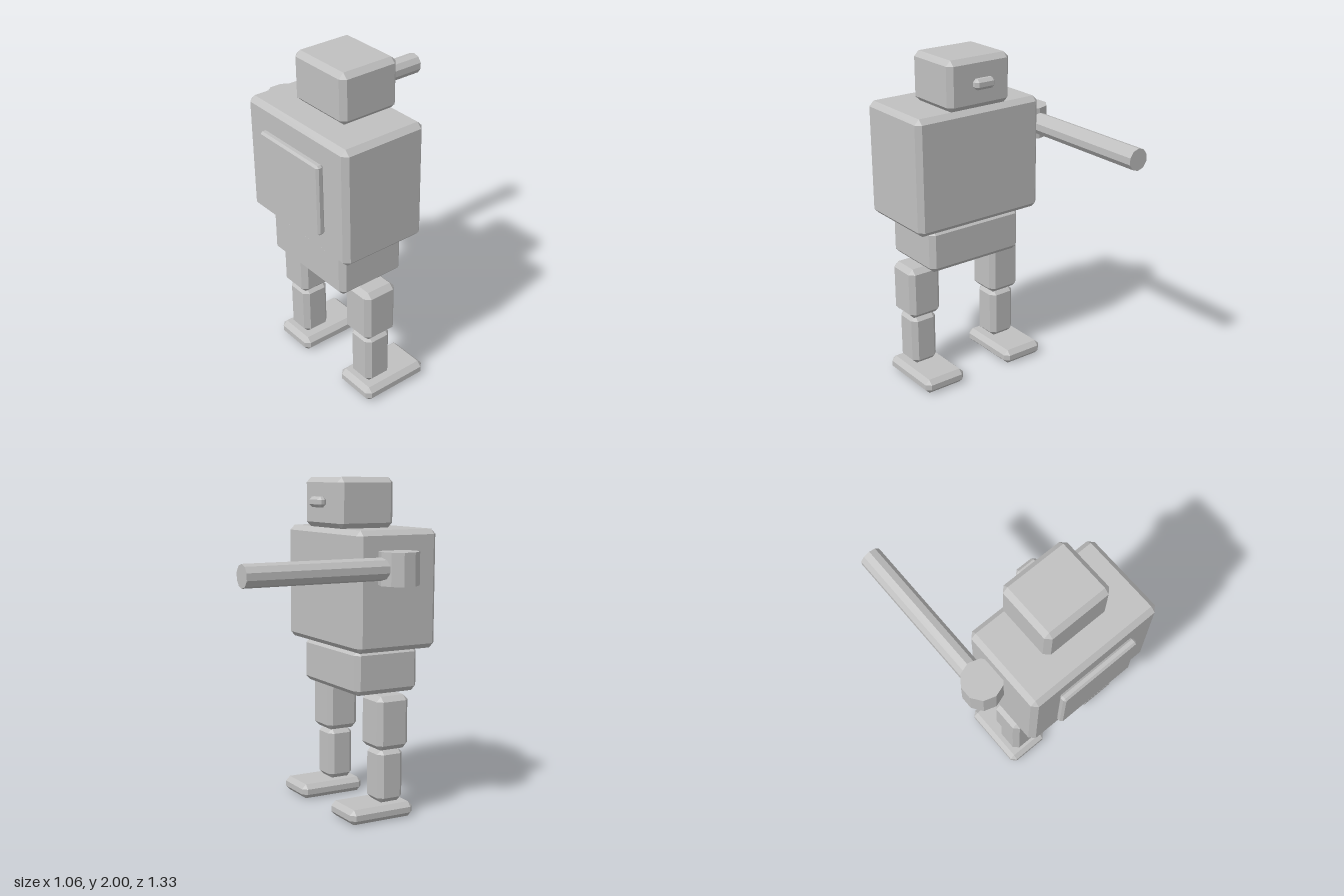
import * as THREE from 'three';
import { ConvexGeometry } from 'three/addons/geometries/ConvexGeometry.js';

// Box with flat chamfered edges and triangular corners
function chamferBox(w, h, d, c) {
  const half = [w / 2, h / 2, d / 2];
  const points = [];
  for (const sx of [-1, 1]) for (const sy of [-1, 1]) for (const sz of [-1, 1]) {
    for (let outer = 0; outer < 3; outer++) {
      const p = half.map((v, axis) => (axis === outer ? v : v - c));
      points.push(new THREE.Vector3(p[0] * sx, p[1] * sy, p[2] * sz));
    }
  }
  return new ConvexGeometry(points);
}

export function createModel() {
  const model = new THREE.Group();
  model.name = 'robot';
  const grey = new THREE.MeshStandardMaterial({ color: 0xc0c0c0, flatShading: true });
  grey.name = 'grey';
  const bodyX = 0.092; // body's own centre line, offset by the arm

  function add(name, geometry, x, y, z) {
    const mesh = new THREE.Mesh(geometry, grey);
    mesh.name = name;
    mesh.position.set(x, y, z);
    model.add(mesh);
    return mesh;
  }

  function block(name, x, width, [y0, y1], [z0, z1], chamfer = 0.03) {
    return add(name, chamferBox(width, y1 - y0, z1 - z0, chamfer), x, (y0 + y1) / 2, (z0 + z1) / 2);
  }

  // Head and body
  block('head', bodyX, 0.428, [1.706, 2.0], [0.087, 0.462]);
  block('headKnob', bodyX - 0.002, 0.135, [1.825, 1.888], [0.032, 0.087], 0.018);
  block('torso', bodyX, 0.858, [1.008, 1.706], [0.087, 0.622]);
  block('chestPanel', bodyX, 0.513, [1.148, 1.568], [0.622, 0.667], 0.012);
  block('pelvis', bodyX, 0.645, [0.738, 1.008], [0.14, 0.57]);

  // Legs
  for (const [side, sign] of [['right', -1], ['left', 1]]) {
    const x = bodyX + sign * 0.297;
    block(side + 'Thigh', x, 0.214, [0.415, 0.738], [0.247, 0.461]);
    block(side + 'Shin', x, 0.172, [0.09, 0.415], [0.268, 0.44]);
    block(side + 'Foot', x, 0.276, [0, 0.09], [0.052, 0.481], 0.028);
  }

  // Shoulder drum and the straight arm reaching backwards
  add('shoulder', new THREE.CylinderGeometry(0.117, 0.117, 0.19, 10), -0.42, 1.497, 0.301);
  const arm = add('arm', new THREE.CylinderGeometry(0.065, 0.065, 0.967, 10), -0.42, 1.497, -0.1835);
  arm.rotation.x = Math.PI / 2;

  return model;
}
